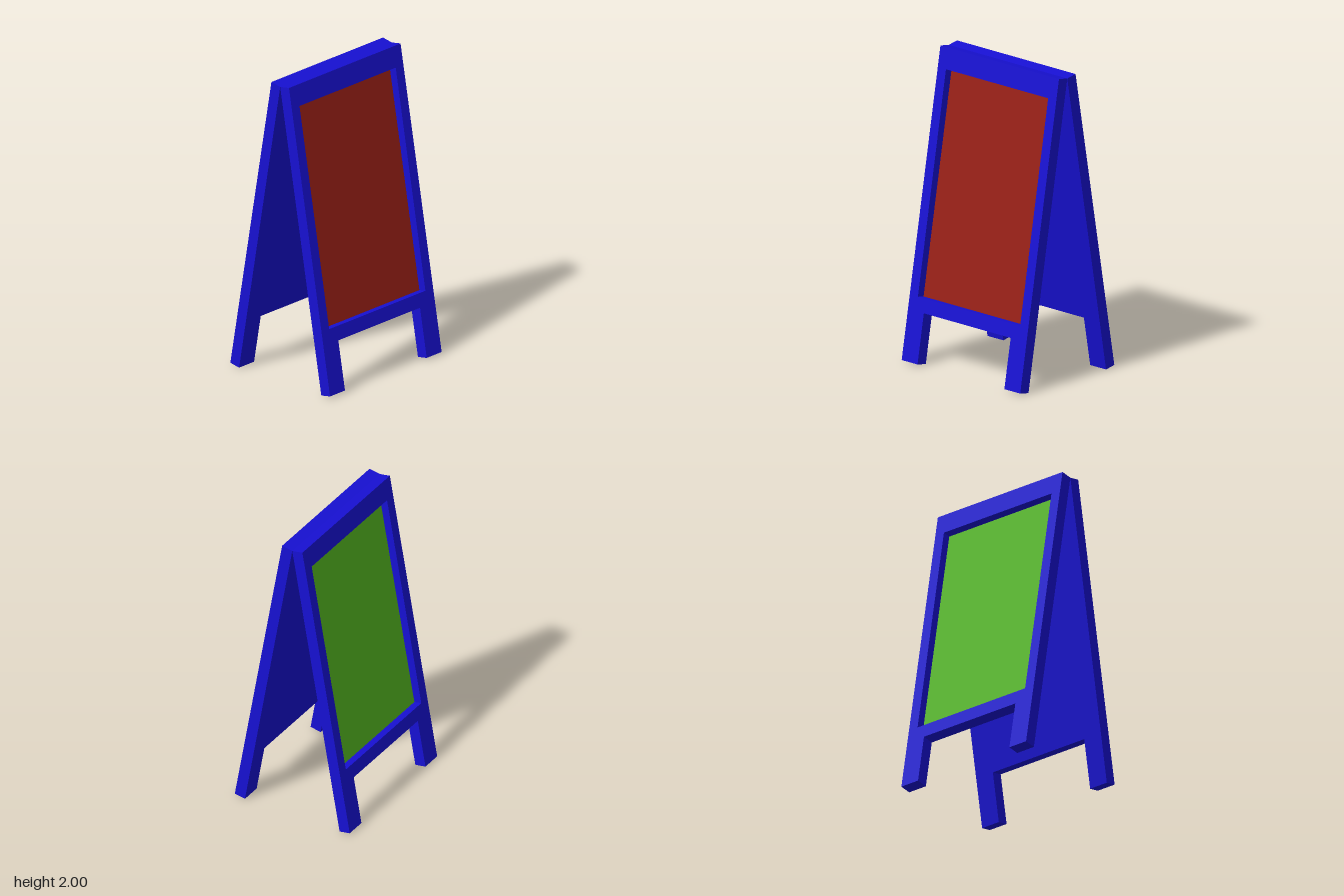
import * as THREE from 'three';

const TILT = THREE.MathUtils.degToRad(10);
const LENGTH = 2.016, HALF_W = 0.516, LEG_INNER = 0.378;
const RAIL_BOTTOM = -1.688;                                // underside of the lower rail
const BOARD = { halfW: 0.445, top: -0.138, bottom: -1.596 };
const BACKING = 0.022, FRAME = 0.054;                      // thicknesses

const blue = new THREE.MeshStandardMaterial({ color: 0x1710d2 });
const red = new THREE.MeshStandardMaterial({ color: 0x981f16 });
const green = new THREE.MeshStandardMaterial({ color: 0x54b621 });

const toPoints = (list) => list.map(([x, y]) => new THREE.Vector2(x, y));

// Outline of one leaf with its two legs, hanging down from the hinge line
function leafShape() {
  return new THREE.Shape(toPoints([
    [-HALF_W, 0], [-HALF_W, -LENGTH], [-LEG_INNER, -LENGTH], [-LEG_INNER, RAIL_BOTTOM],
    [LEG_INNER, RAIL_BOTTOM], [LEG_INNER, -LENGTH], [HALF_W, -LENGTH], [HALF_W, 0],
  ]));
}

function extrude(name, shape, depth, z) {
  const geometry = new THREE.ExtrudeGeometry(shape, { depth, bevelEnabled: false });
  const mesh = new THREE.Mesh(geometry, blue);
  mesh.name = name;
  mesh.position.z = z;
  return mesh;
}

function createLeaf(name, boardMaterial) {
  const leaf = new THREE.Group();
  leaf.name = name;

  // Solid back sheet, flush with the inner side of the frame
  leaf.add(extrude('backing', leafShape(), BACKING, 0));

  // Raised frame around the board opening
  const { halfW, top, bottom } = BOARD;
  const frame = leafShape();
  frame.holes.push(new THREE.Path(toPoints([
    [-halfW, top], [halfW, top], [halfW, bottom], [-halfW, bottom],
  ])));
  leaf.add(extrude('frame', frame, FRAME, BACKING));

  // Coloured writing board set into the recess
  const board = new THREE.Mesh(
    new THREE.BoxGeometry(halfW * 2, top - bottom, 0.004), boardMaterial);
  board.name = 'board';
  board.position.set(0, (top + bottom) / 2, BACKING);
  leaf.add(board);

  // Lean the leaf outwards about the hinge line
  leaf.rotation.x = -TILT;
  leaf.position.y = LENGTH * Math.cos(TILT);
  return leaf;
}

export function createModel() {
  const model = new THREE.Group();
  model.name = 'sandwichBoard';
  model.add(createLeaf('frontLeaf', red));

  const back = new THREE.Group();
  back.name = 'backHalf';
  back.rotation.y = Math.PI;
  back.add(createLeaf('backLeaf', green));
  model.add(back);
  return model;
}
